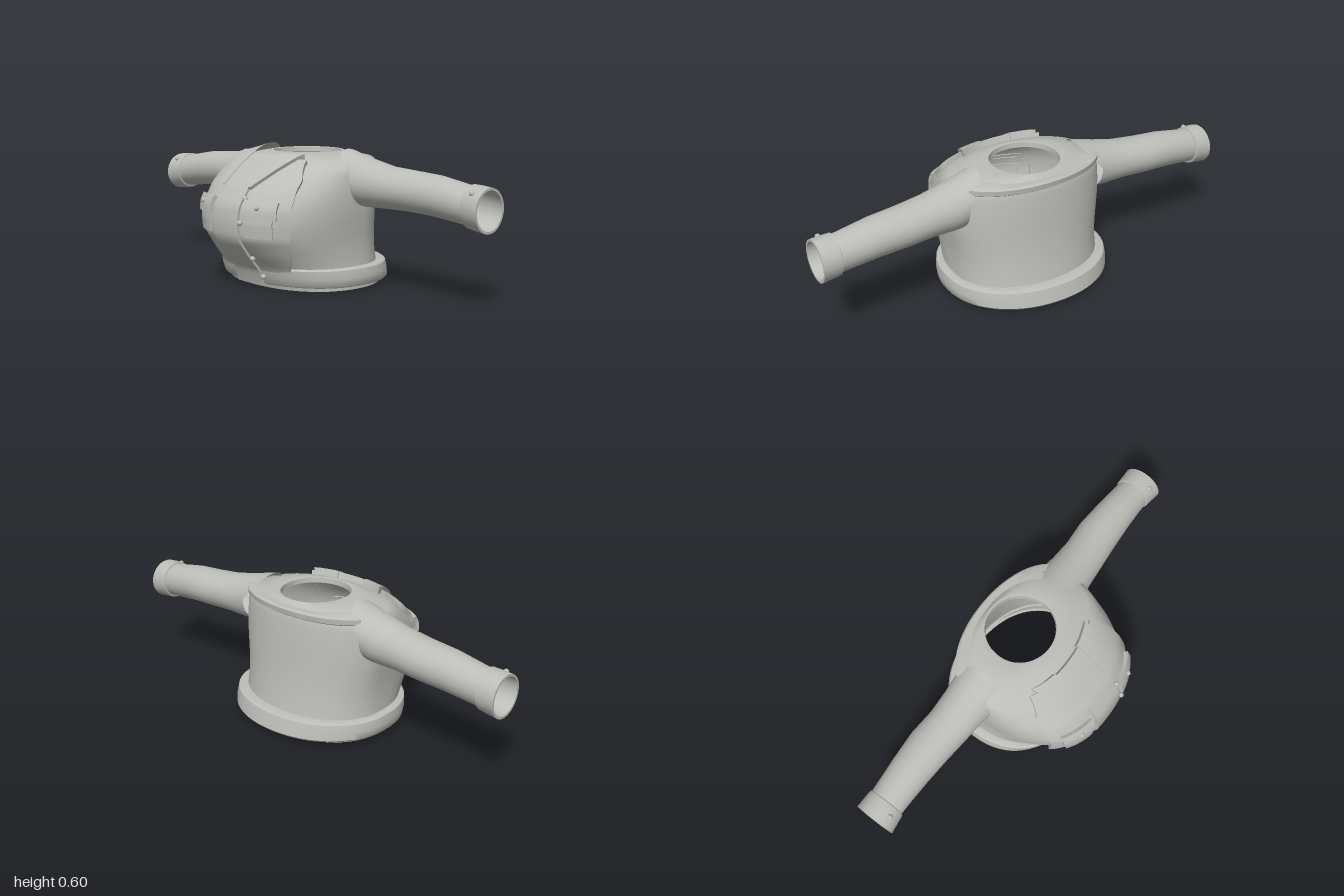
import * as THREE from 'three';
import { toCreasedNormals } from 'three/addons/utils/BufferGeometryUtils.js';

const cloth = new THREE.MeshStandardMaterial({ color: 0xbcbcb8, side: THREE.DoubleSide });
cloth.name = 'grey cloth';

const CZ = -0.08; // z of the widest line of the torso
// Torso sections: y, half width, front z, back z, front roundness exponent
const TORSO = [
  [0, 0.363, 0.225, -0.37, 2.3],
  [0.05, 0.36, 0.24, -0.355, 2.3],
  [0.1, 0.357, 0.258, -0.345, 2.4],
  [0.17, 0.352, 0.318, -0.331, 2.5],
  [0.24, 0.357, 0.37, -0.32, 2.5],
  [0.3, 0.364, 0.374, -0.313, 2.5],
  [0.36, 0.37, 0.366, -0.307, 2.5],
  [0.43, 0.371, 0.315, -0.302, 2.5],
  [0.5, 0.366, 0.232, -0.294, 2.4],
  [0.53, 0.361, 0.19, -0.29, 2.3],
  [0.55, 0.342, 0.158, -0.283, 2.2],
  [0.57, 0.25, 0.112, -0.265, 2],
  [0.585, 0.163, 0.07, -0.25, 2],
];
const NECK = [[0.583, 0.155, 0.063, -0.243, 2], [0.56, 0.153, 0.06, -0.24, 2]];

// Surface grid from a rule f(i, j) that returns [x, y, z]
function grid(f, nu, nv, flip, crease = 0.7) {
  const pos = [], idx = [];
  for (let j = 0; j <= nv; j++) for (let i = 0; i <= nu; i++) pos.push(...f(i, j));
  for (let j = 0; j < nv; j++) for (let i = 0; i < nu; i++) {
    const a = j * (nu + 1) + i, b = a + 1, c = a + nu + 1, d = c + 1;
    idx.push(...(flip ? [a, c, b, b, c, d] : [a, b, c, b, d, c]));
  }
  const g = new THREE.BufferGeometry();
  g.setAttribute('position', new THREE.Float32BufferAttribute(pos, 3));
  g.setIndex(idx);
  return toCreasedNormals(g, crease);
}

const power = (v, n) => Math.sign(v) * Math.abs(v) ** (2 / n);

// Rounded sections stacked along y, over the angle range a0..a1
function loft(rows, a0 = 0, a1 = Math.PI * 2, nu = 72) {
  return grid((i, j) => {
    const [y, w, f, b, n] = rows[j], a = a0 + (a1 - a0) * i / nu;
    const c = Math.cos(a), s = Math.sin(a), e = s > 0 ? n : 2.1;
    return [w * power(c, e), y, CZ + (s > 0 ? f - CZ : CZ - b) * power(s, e)];
  }, nu, rows.length - 1, true);
}

// Piecewise linear lookup in a table keyed by its first column
function lookup(table, t) {
  let k = 0;
  while (k < table.length - 2 && table[k + 1][0] < t) k++;
  const p = table[k], q = table[k + 1];
  const m = THREE.MathUtils.clamp((t - p[0]) / (q[0] - p[0]), 0, 1);
  return p.map((v, i) => v + (q[i] - v) * m);
}

function frontZ(x, y) {
  const [, w, f, , n] = lookup(TORSO, y);
  return CZ + (f - CZ) * Math.max(0, 1 - Math.abs(x / w) ** n) ** (1 / n);
}

// Point at a distance d off the chest
function chest(x, y, d) {
  const h = 0.015;
  const nx = (frontZ(x - h, y) - frontZ(x + h, y)) / (2 * h);
  const ny = (frontZ(x, y - h) - frontZ(x, y + h)) / (2 * h);
  const v = new THREE.Vector3(nx, ny, 1).normalize().multiplyScalar(d);
  return [x + v.x, y + v.y, frontZ(x, y) + v.z];
}

// Cloth piece laid on the chest; left and right edges are tables of [y, x]
function patch(left, right, y0, y1, d, s = 1, nu = 10, nv = 18, base = -0.004) {
  return grid((i, j) => {
    const rim = i === 0 || j === 0 || i === nu + 2 || j === nv + 2;
    const u = THREE.MathUtils.clamp((i - 1) / nu, 0, 1);
    const v = THREE.MathUtils.clamp((j - 1) / nv, 0, 1);
    const y = y0 + (y1 - y0) * v;
    const a = lookup(left, y)[1], b = lookup(right, y)[1];
    return chest(s * (a + (b - a) * u), y, rim ? base : d);
  }, nu + 2, nv + 2, s < 0);
}
const straight = x => [[0, x], [1, x]];

// Tube along x; rows: x at top, x at bottom, y low, y high, z back, z front
function tube(rows, s, nu = 40) {
  return grid((i, j) => {
    const [xt, xb, y0, y1, z0, z1] = rows[j], a = Math.PI * 2 * i / nu;
    const up = Math.max(0, Math.sin(a));
    return [s * (xb + (xt - xb) * up), (y0 + y1) / 2 + (y1 - y0) / 2 * Math.sin(a),
      (z0 + z1) / 2 + (z1 - z0) / 2 * Math.cos(a)];
  }, nu, rows.length - 1, s > 0);
}

export function createModel() {
  const model = new THREE.Group();
  model.name = 'jacket';
  const add = (name, geometry, p) => {
    const m = new THREE.Mesh(geometry, cloth);
    m.name = name;
    if (p) m.position.set(...p);
    model.add(m);
    return m;
  };
  const button = (name, p, r = 0.012) => add(name, new THREE.SphereGeometry(r, 14, 10), p);

  // Hollow torso with a neck opening
  add('torso', loft([...TORSO, ...NECK]));

  // Thick hem band
  add('hemBand', loft([
    [0.1, 0.345, 0.24, -0.335, 2.3], [0.102, 0.385, 0.268, -0.385, 2.3],
    [0.096, 0.393, 0.275, -0.396, 2.3], [0.06, 0.4, 0.264, -0.406, 2.3],
    [0.028, 0.397, 0.252, -0.414, 2.3], [0.02, 0.39, 0.246, -0.408, 2.3],
    [0.02, 0.35, 0.225, -0.35, 2.3],
  ]));

  // Raised yoke behind the neck
  add('backYoke', loft([
    [0.525, 0.355, 0, -0.285, 2], [0.535, 0.366, 0, -0.3, 2],
    [0.558, 0.366, 0, -0.303, 2], [0.566, 0.352, 0, -0.295, 2], [0.566, 0.26, 0, -0.258, 2],
  ], Math.PI * 1.14, Math.PI * 1.86, 36));

  // Centre strip and its buttons
  add('frontPlacket', patch(straight(-0.08), straight(0.08), 0.022, 0.553, 0.03, 1, 8, 30));
  for (const y of [0.39, 0.305, 0.16, 0.065]) button('frontButton', chest(0.092, y, y < 0.2 ? 0.026 : 0.03));

  const panelEdge = [[0.09, 0.215], [0.15, 0.24], [0.23, 0.268], [0.4, 0.272], [0.48, 0.262], [0.55, 0.215]];
  const lapelEdge = [[0.43, 0.09], [0.5, 0.145], [0.555, 0.19]];
  for (const s of [1, -1]) {
    const side = s > 0 ? 'left' : 'right';
    // Chest panel, lapel and pocket
    add(side + 'FrontPanel', patch(straight(0.07), panelEdge, 0.09, 0.548, 0.019, s, 14, 30));
    add(side + 'Lapel', patch(straight(0.078), lapelEdge, 0.43, 0.556, 0.034, s));
    add(side + 'Pocket', patch(straight(0.11), straight(0.22), 0.25, 0.36, 0.029, s));
    add(side + 'PocketFlap', patch(straight(0.097), straight(0.233),
      0.325, 0.385, 0.038, s, 10, 6));
    button(side + 'PocketButton', chest(s * 0.165, 0.362, 0.038), 0.011);

    // Sleeve, with its top seam standing over the shoulder
    add(side + 'Sleeve', tube([
      [0.25, 0.345, 0.36, 0.602, -0.208, 0.015],
      [0.31, 0.36, 0.358, 0.586, -0.208, 0.014],
      [0.39, 0.39, 0.358, 0.567, -0.205, 0.005],
      [0.5, 0.5, 0.361, 0.543, -0.202, -0.006],
      [0.62, 0.62, 0.36, 0.533, -0.212, -0.018],
      [0.75, 0.75, 0.353, 0.524, -0.205, -0.028],
      [0.85, 0.85, 0.343, 0.507, -0.199, -0.034],
      [0.93, 0.93, 0.335, 0.493, -0.194, -0.037],
    ], s));

    // Flared cuff with a turned edge
    add(side + 'Cuff', tube([
      [0.915, 0.915, 0.335, 0.495, -0.194, -0.037],
      [0.918, 0.918, 0.325, 0.504, -0.201, -0.03],
      [0.96, 0.96, 0.319, 0.502, -0.203, -0.025],
      [1, 1, 0.314, 0.497, -0.205, -0.02],
      [1, 1, 0.324, 0.487, -0.195, -0.03],
      [0.93, 0.93, 0.335, 0.493, -0.194, -0.037],
    ], s));
    button(side + 'CuffButton', [s * 0.957, 0.476, -0.052], 0.012);
  }
  return model;
}
